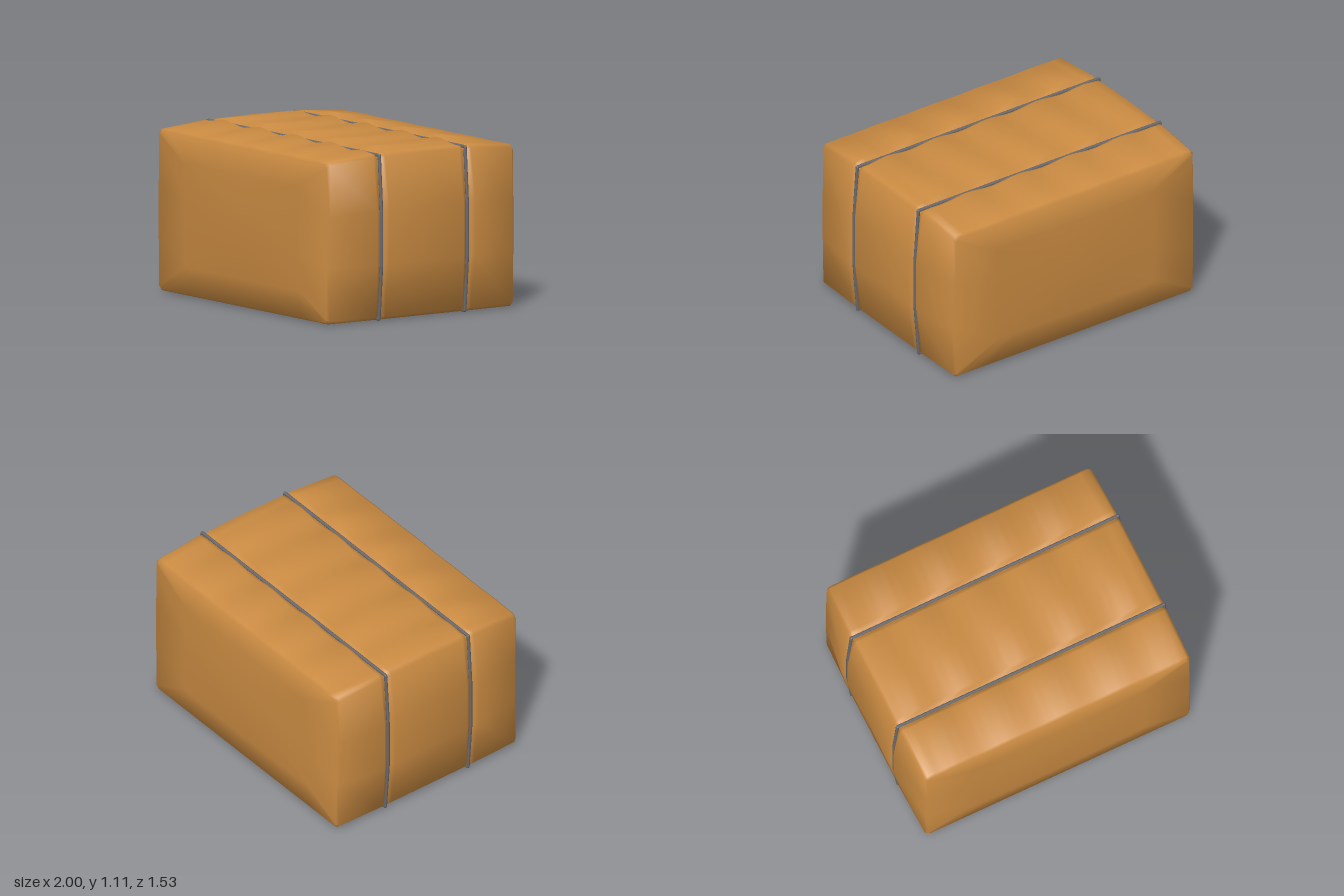
import * as THREE from 'three';

const BEVEL = 0.02;
const STRAP_Z = [0.329, -0.344];

// Closed, bevelled outline of the bale at one depth, counter-clockwise from the front
function outline({ z, hw, y0, top, bulge, wave, phase }) {
  const pts = [];
  const line = (n, f) => { for (let i = 0; i <= n; i++) pts.push(f(i / n)); };
  const side = (v) => hw + bulge * Math.min(1, Math.sin(Math.PI * v) * 1.16);
  const height = (v) => y0 + BEVEL + v * (top - y0 - 2 * BEVEL);
  const flat = hw - BEVEL;
  line(3, (v) => [side(v), height(v), z]);
  line(30, (t) => {
    const x = flat * (1 - 2 * t);
    const fade = Math.min(1, (flat - Math.abs(x)) / 0.15);
    return [x, top + wave * fade * (0.5 + 0.5 * Math.sin(x * 15.7 + phase)), z];
  });
  line(3, (v) => [-side(1 - v), height(1 - v), z]);
  line(8, (t) => [flat * (2 * t - 1), y0, z]);
  return pts;
}

// Rings that close an end of the bale with a gentle pillow bulge
function endCap(edge, dir) {
  const cy = 0.53;
  return [0, 0.33, 0.66].map((s) => edge.map(([x, y, z]) => {
    const px = x * s, py = cy + (y - cy) * s;
    const puff = 0.033 * (1 - (px / 0.94) ** 2) * (1 - ((py - cy) / 0.53) ** 2);
    return [px, py, z + dir * puff];
  }));
}

// Skin over rings; every face counts equally in the normals, for soft padded shading
function loft(rings) {
  const n = rings[0].length, index = [];
  const points = rings.flat().map((p) => new THREE.Vector3(...p));
  const normals = points.map(() => new THREE.Vector3());
  for (let j = 0; j < rings.length - 1; j++) {
    for (let i = 0; i < n; i++) {
      const k = (i + 1) % n;
      const a = j * n + i, b = j * n + k, c = a + n, d = b + n;
      index.push(a, c, b, b, c, d);
      const across = points[d].clone().sub(points[a]);
      const face = across.cross(points[b].clone().sub(points[c])).normalize();
      [a, b, c, d].forEach((v) => normals[v].add(face));
    }
  }
  // The collapsed ring at each end shares one straight-out normal
  for (let i = 0; i < n; i++) {
    normals[i].set(0, 0, 1);
    normals[normals.length - 1 - i].set(0, 0, -1);
  }
  const geo = new THREE.BufferGeometry().setFromPoints(points);
  const flatNormals = normals.flatMap((v) => v.normalize().toArray());
  geo.setAttribute('normal', new THREE.Float32BufferAttribute(flatNormals, 3));
  geo.setIndex(index);
  return geo;
}

// Tube along one straight stretch of strap
function strapPiece(a, b, radius, material) {
  const geo = new THREE.CylinderGeometry(radius, radius, a.distanceTo(b), 8);
  const mesh = new THREE.Mesh(geo, material);
  mesh.position.copy(a).add(b).multiplyScalar(0.5);
  mesh.quaternion.setFromUnitVectors(new THREE.Vector3(0, 1, 0), b.clone().sub(a).normalize());
  mesh.name = 'strapPiece';
  return mesh;
}

export function createModel() {
  const model = new THREE.Group();
  model.name = 'strappedBale';
  const straw = new THREE.MeshStandardMaterial({ color: 0xca8b42 });
  straw.name = 'straw';
  const twine = new THREE.MeshStandardMaterial({ color: 0x6a6a6e });
  twine.name = 'twine';

  // Depth stations: end edges, lips beside the straps and the pinched grooves
  const end = { hw: 0.944, y0: 0.006, top: 1.052, bulge: 0.006, wave: 0.004, phase: 0 };
  const rim = { ...end, hw: 0.93, y0: 0.018, top: 1.038 };
  const lip = { hw: 0.952, y0: 0.006, top: 1.08, bulge: 0.048, wave: 0.028 };
  const shoulder = { ...lip, top: 1.076, bulge: 0.034, wave: 0.016 };
  const groove = { hw: 0.945, y0: 0.014, top: 1.062, bulge: 0.022, wave: 0, phase: 0 };
  const at = (station, z, phase = 0) => outline({ ...station, z, phase });
  const grooveRings = (z, p) => [
    at(lip, z + 0.045, p), at(shoulder, z + 0.022, p),
    at(groove, z + 0.008), at(groove, z - 0.008),
    at(shoulder, z - 0.022, p + 2), at(lip, z - 0.045, p + 2),
  ];
  const front = at(rim, 0.729), back = at(rim, -0.733);
  const body = new THREE.Mesh(loft([
    ...endCap(front, 1), front, at(end, 0.712),
    ...grooveRings(STRAP_Z[0], 0.2),
    at({ ...lip, top: 1.085, bulge: 0.04, wave: 0.012 }, 0, 1.5),
    ...grooveRings(STRAP_Z[1], 2.8),
    at(end, -0.716), back, ...endCap(back, -1).reverse(),
  ]), straw);
  body.name = 'baleBody';
  model.add(body);

  // Two straps wrapped around the bale
  const path = [[0.948, 0.011], [0.976, 0.36], [0.976, 0.71], [0.951, 1.072]];
  const loop = [...path, ...path.map(([x, y]) => [-x, y]).reverse()];
  STRAP_Z.forEach((z, s) => {
    const strap = new THREE.Group();
    strap.name = s ? 'backStrap' : 'frontStrap';
    const pts = loop.map(([x, y]) => new THREE.Vector3(x, y, z));
    pts.forEach((p, i) => {
      strap.add(strapPiece(p, pts[(i + 1) % pts.length], 0.011, twine));
      const joint = new THREE.Mesh(new THREE.SphereGeometry(0.011, 8, 6), twine);
      joint.position.copy(p);
      joint.name = 'strapBend';
      strap.add(joint);
    });
    model.add(strap);
  });
  return model;
}
